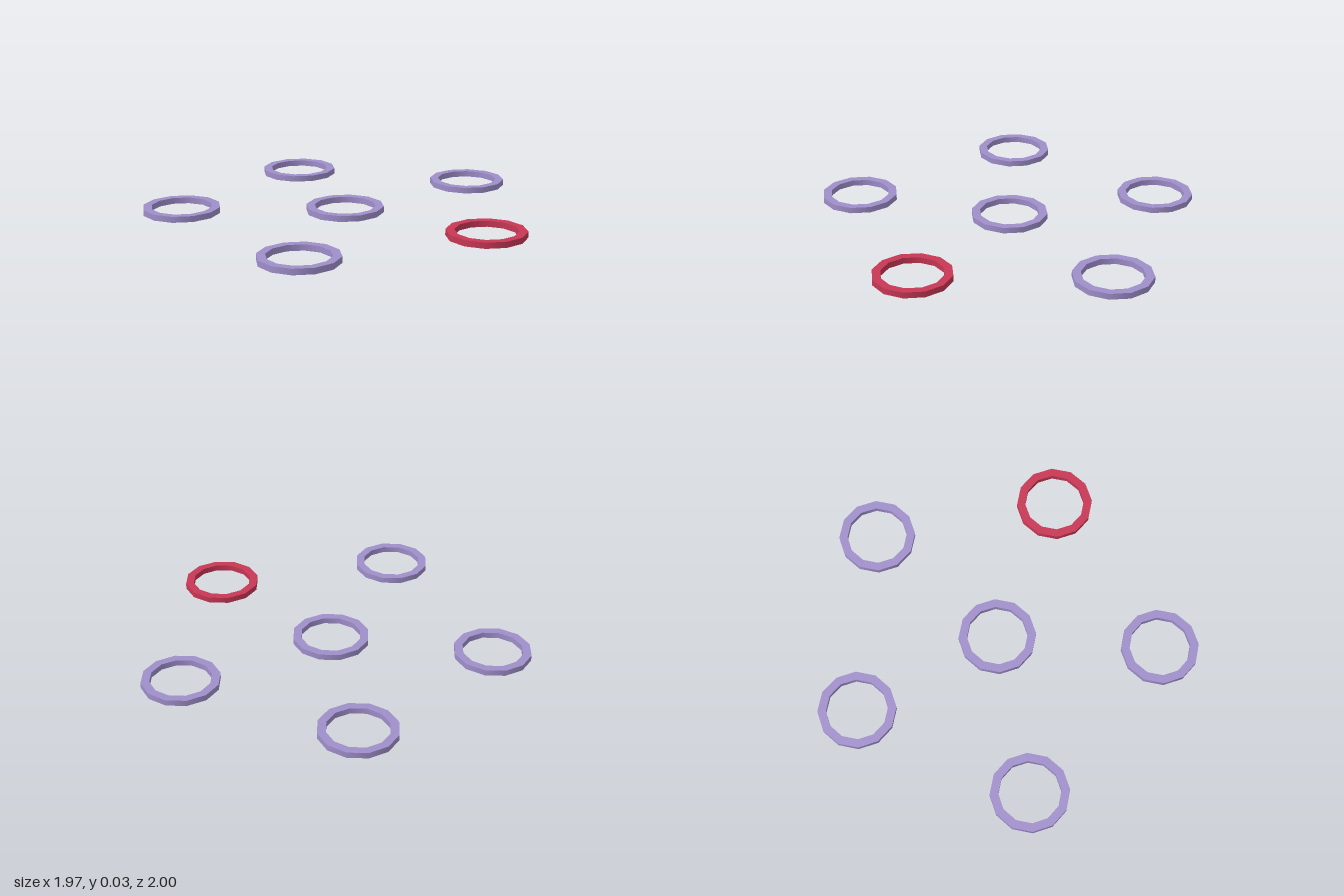
import * as THREE from 'three';

const mat = (color) => new THREE.MeshStandardMaterial({ color });

export function createModel() {
  const group = new THREE.Group();
  const lilac = mat(0xa08fcb);
  const red = mat(0xc83755);

  // Flat ring: rectangular section turned in 12 sides, corners doubled to stay sharp
  const outer = 0.208, inner = 0.163, height = 0.032;
  const corners = [[outer, 0], [outer, height], [inner, height], [inner, 0], [outer, 0]];
  const profile = corners.flatMap(([r, y], i) => {
    const p = new THREE.Vector2(r, y);
    return i === 0 || i === 4 ? [p] : [p, p.clone()];
  });
  const ring = new THREE.LatheGeometry(profile, 12, Math.PI / 12);

  const add = (name, x, z, material) => {
    const mesh = new THREE.Mesh(ring, material);
    mesh.name = name;
    mesh.position.set(x, 0, z);
    group.add(mesh);
  };

  // One ring in the middle, five around it, the front one red
  add('centreRing', -0.1, 0, lilac);
  add('leftRing', 0.78, 0, lilac);
  add('backLeftRing', 0.18, -0.798, lilac);
  add('backRightRing', -0.79, -0.53, lilac);
  add('frontRightRing', -0.79, 0.53, lilac);
  add('frontRing', 0.18, 0.798, red);
  return group;
}
